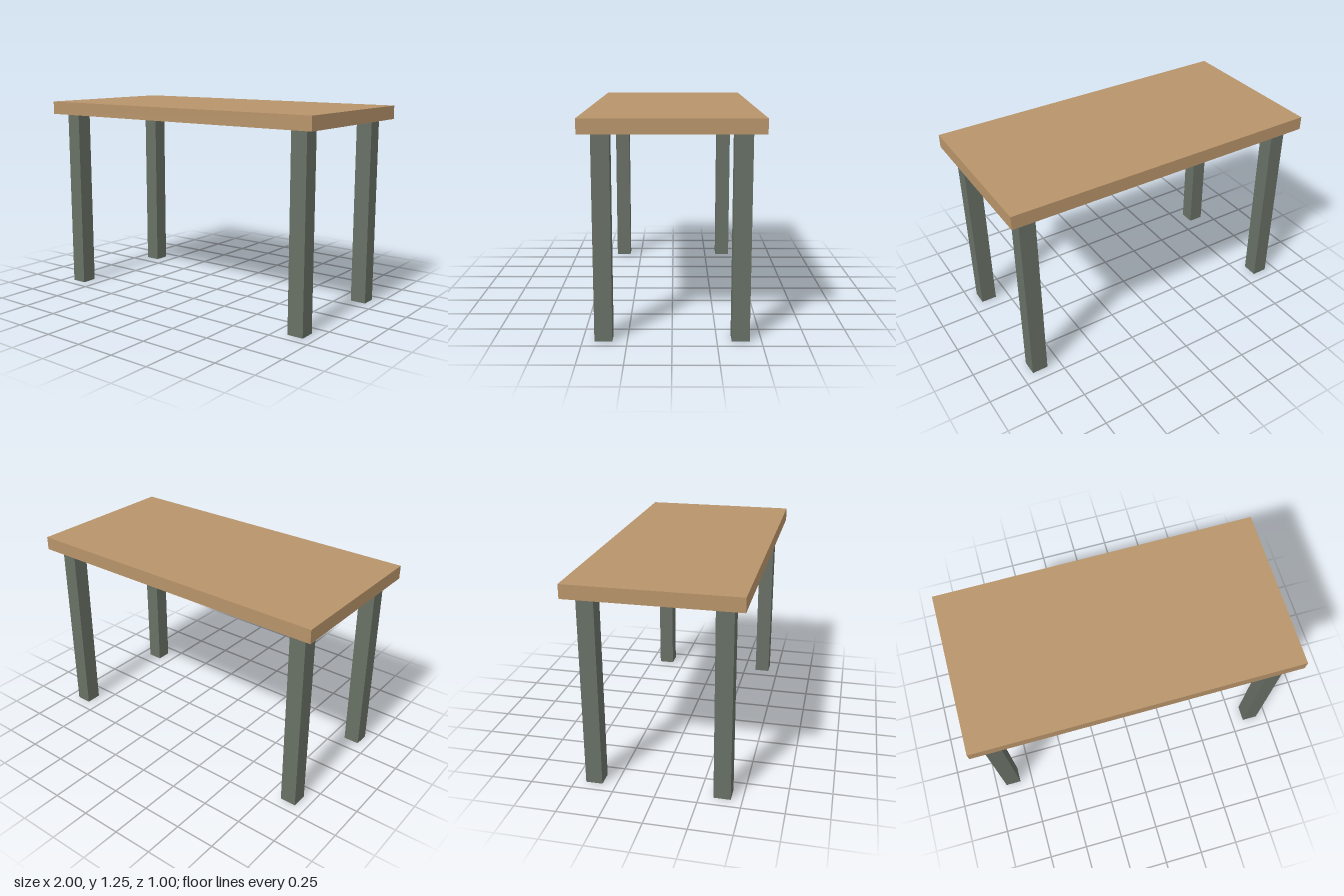
import * as THREE from 'three';

const LEG_HEIGHT = 1.167;
const LEG_WIDTH = 0.1;
const TOP_THICKNESS = 0.083;

export function createModel() {
  const table = new THREE.Group();
  table.name = 'table';
  const wood = new THREE.MeshStandardMaterial({ color: 0xb8946a });
  const legPaint = new THREE.MeshStandardMaterial({ color: 0x687065 });

  // Tabletop slab
  const top = new THREE.Mesh(new THREE.BoxGeometry(2, TOP_THICKNESS, 1), wood);
  top.name = 'tabletop';
  top.position.y = LEG_HEIGHT + TOP_THICKNESS / 2;
  table.add(top);

  // Four square legs, inset from the corners
  const legGeometry = new THREE.BoxGeometry(LEG_WIDTH, LEG_HEIGHT, LEG_WIDTH);
  for (const [xName, x] of [['Left', 0.883], ['Right', -0.883]]) {
    for (const [zName, z] of [['front', 0.383], ['back', -0.383]]) {
      const leg = new THREE.Mesh(legGeometry, legPaint);
      leg.name = `${zName}${xName}Leg`;
      leg.position.set(x, LEG_HEIGHT / 2, z);
      table.add(leg);
    }
  }
  return table;
}
